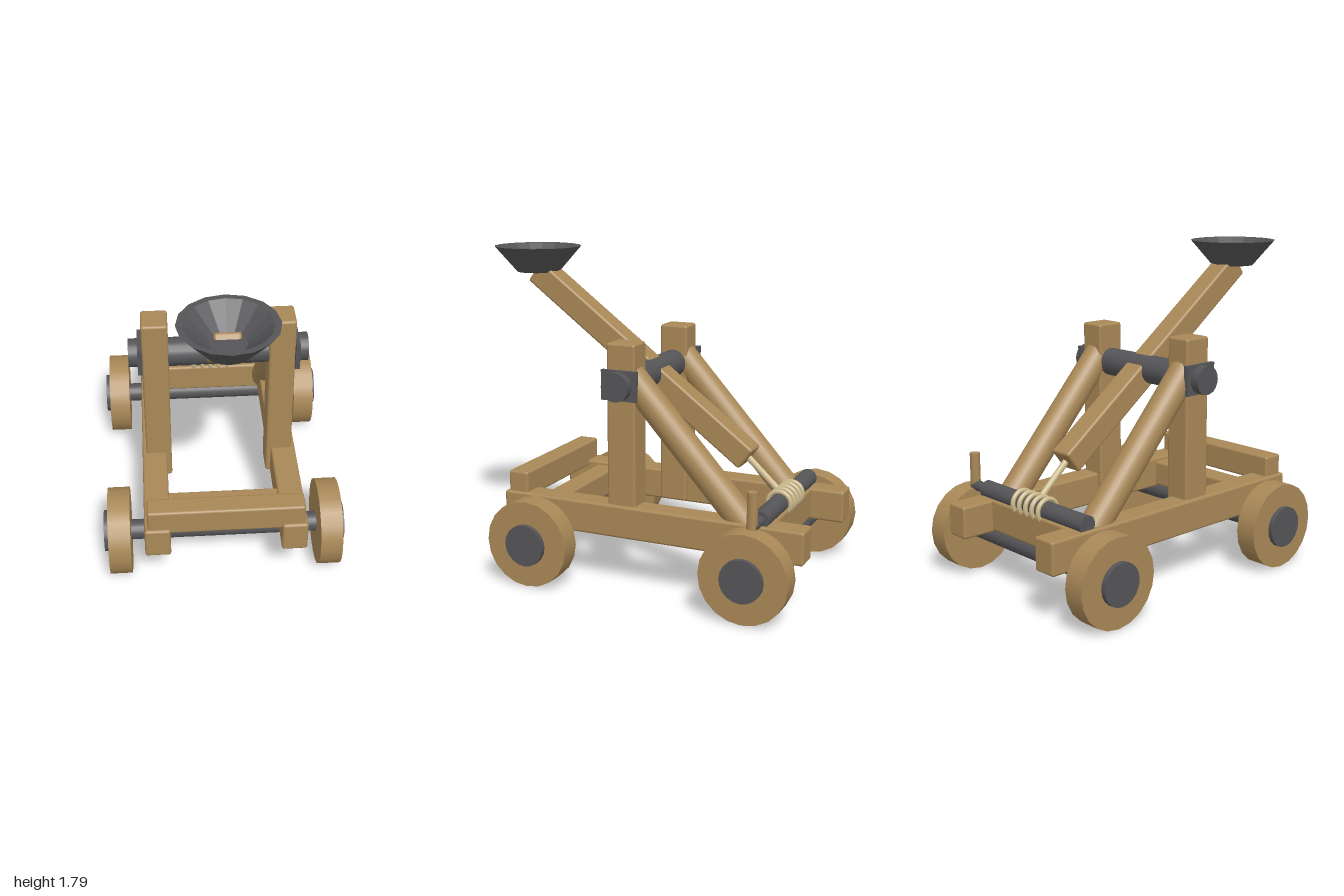
import * as THREE from 'three';
import { RoundedBoxGeometry } from 'three/addons/geometries/RoundedBoxGeometry.js';

export function createModel() {
  const model = new THREE.Group();
  model.name = 'catapult';
  const mat = (name, color, extra) => {
    const m = new THREE.MeshStandardMaterial({ color, ...extra });
    m.name = name;
    return m;
  };
  const wood = mat('wood', 0xa98857);
  const iron = mat('iron', 0x555558);
  const rope = mat('rope', 0xcdbb8e);

  const add = (name, geo, material, x = 0, y = 0, z = 0) => {
    const mesh = new THREE.Mesh(geo, material);
    mesh.name = name;
    mesh.position.set(x, y, z);
    model.add(mesh);
    return mesh;
  };
  // Timber with softened edges
  const beam = (name, w, h, d, x, y, z) =>
    add(name, new RoundedBoxGeometry(w, h, d, 2, 0.014), wood, x, y, z);
  // Cylinder between two points
  const rod = (name, r, a, b, material, sides = 20) => {
    const from = new THREE.Vector3(...a), to = new THREE.Vector3(...b);
    const dir = to.clone().sub(from);
    const mesh = add(name, new THREE.CylinderGeometry(r, r, dir.length(), sides), material);
    mesh.position.copy(from).add(to).multiplyScalar(0.5);
    mesh.quaternion.setFromUnitVectors(new THREE.Vector3(0, 1, 0), dir.normalize());
    return mesh;
  };

  // Frame
  beam('frontTopBeam', 0.845, 0.15, 0.12, 0, 0.5, 0.667);
  beam('frontCrossBeam', 0.7, 0.15, 0.13, 0, 0.365, 0.485);
  beam('rearCrossBeam', 0.84, 0.172, 0.125, 0, 0.376, -0.752);

  for (const [side, s] of [['left', 1], ['right', -1]]) {
    beam(side + 'Rail', 0.14, 0.18, 1.745, s * 0.37, 0.37, -0.127);
    beam(side + 'Upright', 0.145, 1.05, 0.165, s * 0.345, 0.815, 0.028);
    rod(side + 'Strut', 0.08, [s * 0.345, 0.36, -0.72], [s * 0.345, 1.16, -0.0], wood, 24);
    add(side + 'BearingPlate', new THREE.BoxGeometry(0.025, 0.162, 0.204), iron, s * 0.428, 1.12, 0.028);

    // Wheels with iron hubs
    for (const [end, z] of [['Front', 0.495], ['Rear', -0.747]]) {
      rod(side + end + 'Wheel', 0.24, [s * 0.517, 0.24, z], [s * 0.638, 0.24, z], wood);
      rod(side + end + 'Hub', 0.115, [s * 0.6, 0.24, z], [s * 0.665, 0.24, z], iron);
    }
  }

  // Axles and pivot bar
  rod('frontAxle', 0.056, [-0.6, 0.24, 0.495], [0.6, 0.24, 0.495], iron);
  rod('rearAxle', 0.056, [-0.6, 0.24, -0.747], [0.6, 0.24, -0.747], iron);
  rod('pivotBar', 0.078, [-0.49, 1.12, 0.028], [0.49, 1.12, 0.028], iron);

  // Throwing arm
  const arm = beam('throwingArm', 0.134, 0.137, 1.61, 0, 1.171, 0.098);
  arm.rotation.x = -0.642;

  // Cup with a thick rim and flat floor
  const profile = [[0, 1.645], [0.121, 1.645], [0.247, 1.79], [0.215, 1.79], [0.09, 1.68], [0, 1.68]];
  const cupMat = mat('cupIron', 0x555558, { flatShading: true });
  add('cup', new THREE.LatheGeometry(profile.map((p) => new THREE.Vector2(...p)), 16), cupMat, 0, 0, 0.753);

  // Winch drum, crank and handle
  const wy = 0.487, wz = -0.757;
  rod('winchDrum', 0.05, [-0.42, wy, wz], [0.42, wy, wz], iron);
  rod('crankShaft', 0.029, [0.4, wy, wz], [0.54, wy, wz], iron, 12);
  rod('crankHandle', 0.028, [0.53, 0.46, wz], [0.53, 0.672, wz], wood, 12);

  // Rope coils and the line to the arm
  for (let i = -2; i <= 2; i++) {
    const coil = add('ropeCoil', new THREE.TorusGeometry(0.064, 0.013, 8, 24), rope, i * 0.0525, wy, wz);
    coil.rotation.y = Math.PI / 2;
  }
  rod('ropeLine', 0.018, [0, 0.5, -0.745], [0, 0.7, -0.53], rope, 10);

  return model;
}
